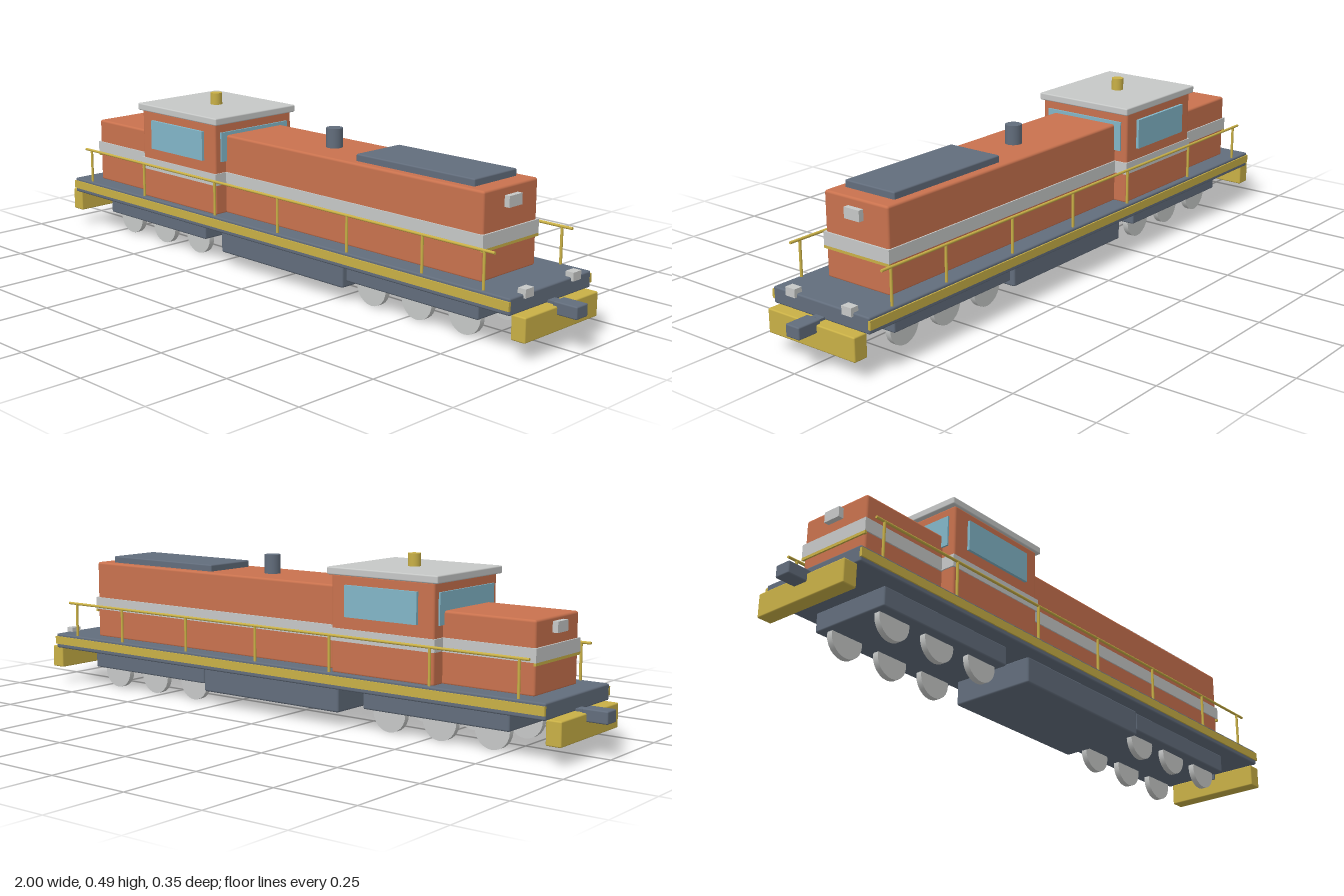
import * as THREE from 'three';
import { RoundedBoxGeometry } from 'three/addons/geometries/RoundedBoxGeometry.js';

export function createModel() {
  const mat = (name, color) => {
    const m = new THREE.MeshStandardMaterial({ color });
    m.name = name;
    return m;
  };
  const orange = mat('orange paint', 0xc9724e);
  const slate = mat('slate grey', 0x626d7c);
  const light = mat('light grey', 0xc6c8c7);
  const yellow = mat('yellow', 0xc9b046);
  const glass = mat('window blue', 0x82b6c8);

  const loco = new THREE.Group();
  loco.name = 'locomotive';
  const add = (name, geometry, material, x = 0, y = 0, z = 0) => {
    const mesh = new THREE.Mesh(geometry, material);
    mesh.name = name;
    mesh.position.set(x, y, z);
    loco.add(mesh);
    return mesh;
  };
  // Box from its limits in x and y, centred on z with half width w; bevel is optional
  const box = (name, material, x0, x1, y0, y1, w, bevel = 0, z = 0) => {
    const size = [x1 - x0, y1 - y0, w * 2];
    const geometry = bevel ? new RoundedBoxGeometry(...size, 2, bevel) : new THREE.BoxGeometry(...size);
    return add(name, geometry, material, (x0 + x1) / 2, (y0 + y1) / 2, z);
  };
  const cylinder = (name, material, r, h, x, y, z = 0) =>
    add(name, new THREE.CylinderGeometry(r, r, h, 24), material, x, y, z);

  // Underframe
  box('deck', slate, -0.903, 0.903, 0.117, 0.163, 0.172, 0.005);
  box('fuelTank', slate, -0.22, 0.29, 0.041, 0.12, 0.132, 0.006);
  for (const z of [-0.172, 0.172]) box('sideSill', yellow, -0.903, 0.903, 0.13, 0.155, 0.004, 0, z);

  // Bogies with three axles each
  for (const cx of [-0.537, 0.532]) {
    box('bogie', slate, cx - 0.235, cx + 0.235, 0.062, 0.12, 0.125, 0.005);
    for (const dx of [-0.166, 0, 0.166])
      for (const z of [-0.086, 0.086])
        cylinder('wheel', light, 0.054, 0.018, cx + dx, 0.054, z).rotation.x = Math.PI / 2;
  }

  // End beams and couplers at both ends
  for (const s of [-1, 1]) {
    const end = (name, material, a, b, ...rest) =>
      box(name, material, Math.min(a * s, b * s), Math.max(a * s, b * s), ...rest);
    end('endBeam', yellow, 0.895, 0.94, 0.05, 0.118, 0.155, 0.004);
    end('couplerShank', slate, 0.89, 0.95, 0.1, 0.125, 0.016);
    end('couplerHead', slate, 0.925, 1.0, 0.095, 0.13, 0.024, 0.004);
  }

  // Hoods and cab
  box('longHood', orange, -0.23, 0.765, 0.16, 0.401, 0.113, 0.007);
  box('shortHood', orange, -0.837, -0.54, 0.16, 0.36, 0.113, 0.007);
  box('cab', orange, -0.556, -0.215, 0.16, 0.44, 0.156, 0.007);
  box('cabRoof', light, -0.57, -0.203, 0.436, 0.458, 0.163, 0.004);

  // Light bands round the body and yellow end stripes
  box('longHoodBand', light, -0.22, 0.77, 0.25, 0.288, 0.117);
  box('shortHoodBand', light, -0.842, -0.54, 0.25, 0.288, 0.117);
  box('cabBand', light, -0.56, -0.211, 0.252, 0.288, 0.159);
  box('frontStripe', yellow, 0.763, 0.77, 0.242, 0.25, 0.117);
  box('rearStripe', yellow, -0.842, -0.835, 0.242, 0.25, 0.117);

  // Cab windows
  for (const z of [-0.16, 0.16]) box('sideWindow', glass, -0.505, -0.265, 0.322, 0.411, 0.0045, 0, z);
  box('rearWindow', glass, -0.561, -0.553, 0.322, 0.411, 0.135);
  box('frontWindow', glass, -0.218, -0.21, 0.322, 0.411, 0.135);

  // Roof fittings
  box('radiatorCover', slate, 0.297, 0.714, 0.396, 0.421, 0.088, 0.004);
  cylinder('exhaustStack', slate, 0.024, 0.065, 0.128, 0.425);
  cylinder('beacon', yellow, 0.018, 0.038, -0.385, 0.475);

  // Lamps
  box('frontHeadlight', light, 0.76, 0.781, 0.346, 0.377, 0.027);
  box('rearHeadlight', light, -0.853, -0.832, 0.318, 0.348, 0.027);
  for (const z of [-0.101, 0.101]) box('deckLamp', light, 0.885, 0.91, 0.153, 0.177, 0.017, 0, z);

  // Handrails along both sides
  for (const z of [-0.163, 0.163]) {
    const rail = cylinder('handrail', yellow, 0.004, 1.695, -0.002, 0.267, z);
    rail.rotation.z = Math.PI / 2;
    for (const x of [-0.82, -0.548, -0.212, 0.06, 0.335, 0.607, 0.812])
      cylinder('railPost', yellow, 0.004, 0.11, x, 0.213, z);
  }
  return loco;
}
